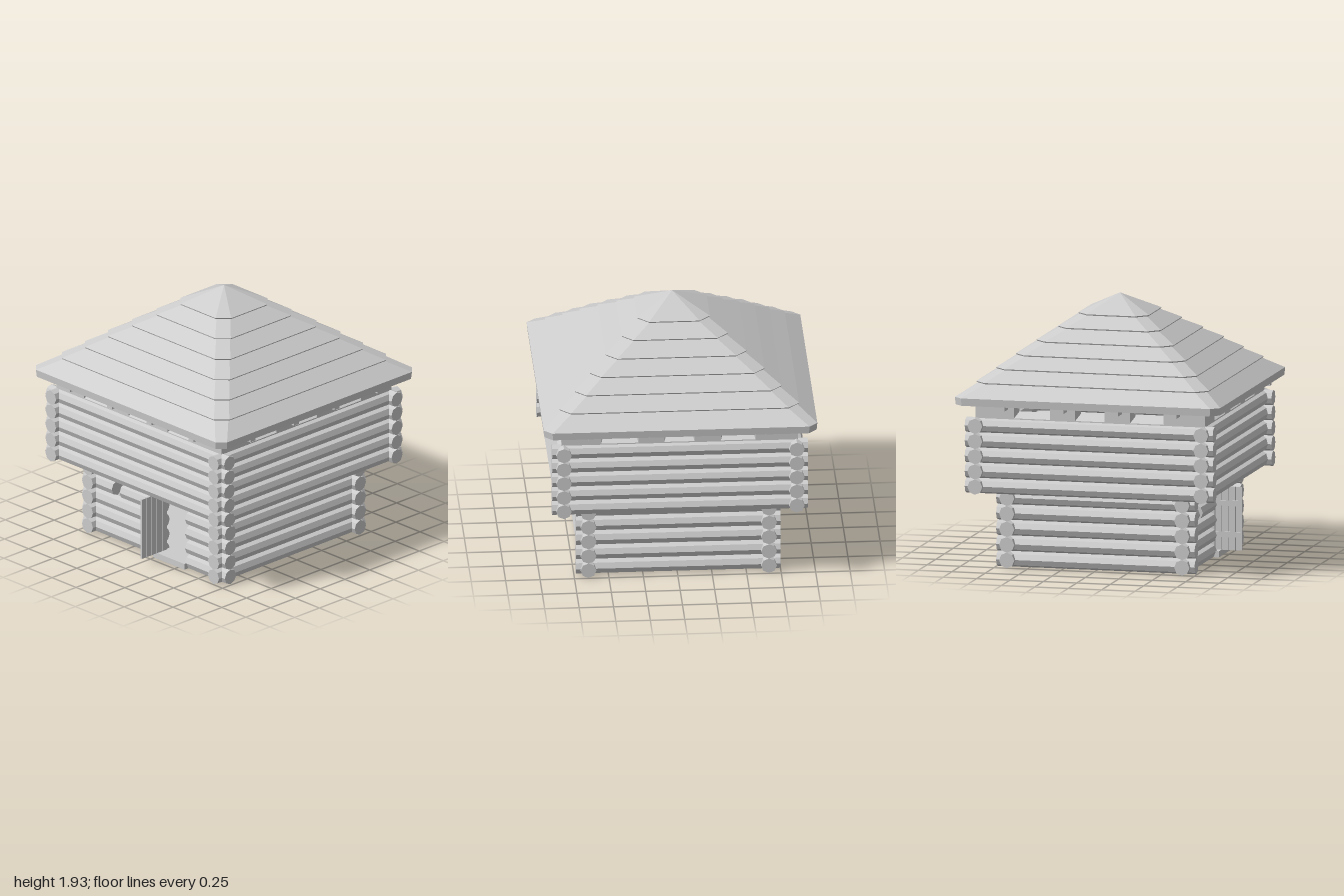
import * as THREE from 'three';

const mat = new THREE.MeshStandardMaterial({ color: 0xcccccc, flatShading: true });

function add(parent, name, geometry, x = 0, y = 0, z = 0) {
  const mesh = new THREE.Mesh(geometry, mat);
  mesh.name = name;
  mesh.position.set(x, y, z);
  parent.add(mesh);
  return mesh;
}

function box(parent, name, w, h, d, x, y, z) {
  return add(parent, name, new THREE.BoxGeometry(w, h, d), x, y, z);
}

// Eight-sided log along x, with edges at its top, bottom, front and back
function log(parent, x0, x1, y, z, r) {
  const g = new THREE.CylinderGeometry(r, r, x1 - x0, 8).rotateZ(Math.PI / 2);
  add(parent, 'log', g, (x0 + x1) / 2, y, z);
}

// Four crossing log walls; frontCuts(row) lists the spans of the front logs
function logStorey(name, { half, centre, y0, step, r, frontCuts }) {
  const storey = new THREE.Group();
  storey.name = name;
  for (let side = 0; side < 4; side++) {
    const wall = new THREE.Group();
    wall.name = ['frontWall', 'leftWall', 'backWall', 'rightWall'][side];
    wall.rotation.y = side * Math.PI / 2;
    for (let row = 0; row < 5; row++) {
      const spans = side === 0 && frontCuts ? frontCuts(row) : [[-half, half]];
      for (const [x0, x1] of spans) log(wall, x0, x1, y0 + row * step, centre, r);
    }
    storey.add(wall);
  }
  return storey;
}

// Upright prism from a plan outline of [x, z] points
function planPrism(points, y0, y1) {
  const shape = new THREE.Shape(points.map(([x, z]) => new THREE.Vector2(x, -z)));
  const g = new THREE.ExtrudeGeometry(shape, { depth: y1 - y0, bevelEnabled: false });
  return g.rotateX(-Math.PI / 2).translate(0, y0, 0);
}

// Parapet side with three splayed firing slots and rafter ends
function parapetSide() {
  const side = new THREE.Group();
  side.name = 'parapetSide';
  const zo = 0.857, zi = 0.78, splay = 0.022;
  const slots = [[-0.57, -0.3], [-0.112, 0.108], [0.298, 0.55]];
  const edges = [-zo, ...slots.flat(), zi];
  for (let i = 0; i < edges.length; i += 2) {
    const l = edges[i], r = edges[i + 1];
    const li = i === 0 ? l : l - splay;
    const ri = i === edges.length - 2 ? r : r + splay;
    add(side, 'parapetPost', planPrism([[l, zo], [r, zo], [ri, zi], [li, zi]], 1.085, 1.222));
  }
  // Sloping sills, low on the outside
  for (const [l, r] of slots) {
    const profile = new THREE.Shape([
      new THREE.Vector2(-zo, 1.085), new THREE.Vector2(-zi, 1.085),
      new THREE.Vector2(-zi, 1.163), new THREE.Vector2(-zo, 1.122),
    ]);
    const g = new THREE.ExtrudeGeometry(profile, { depth: r - l, bevelEnabled: false });
    g.rotateY(Math.PI / 2);
    add(side, 'slotSill', g, l, 0, 0);
  }
  for (const x of [-0.64, -0.2, 0.21, 0.645]) box(side, 'rafterEnd', 0.052, 0.036, 0.13, x, 1.204, 0.895);
  return side;
}

// Overlapping shingle courses: stacked rings of a square with cut corners
function roofGeometry() {
  const rings = [[0, 1.22, 0], [0.988, 1.22, 0.06], [0.993, 1.275, 0.06]];
  const lips = [[0.87, 1.365], [0.752, 1.452], [0.635, 1.54], [0.512, 1.626], [0.385, 1.712], [0.263, 1.797]];
  for (const [h, y] of lips) {
    rings.push([h - 0.022, y + 0.004, 0.07], [h - 0.004, y, 0.08], [h, y + 0.009, 0.08]);
  }
  rings.push([0, 1.933, 0]);
  const pos = [], index = [];
  for (const [h, y, c] of rings) {
    const k = h - c;
    for (const [x, z] of [[h, -k], [h, k], [k, h], [-k, h], [-h, k], [-h, -k], [-k, -h], [k, -h]]) pos.push(x, y, z);
  }
  for (let r = 0; r < rings.length - 1; r++) {
    for (let i = 0; i < 8; i++) {
      const j = (i + 1) % 8, a = r * 8, b = a + 8;
      index.push(a + i, b + i, b + j, a + i, b + j, a + j);
    }
  }
  const g = new THREE.BufferGeometry();
  g.setAttribute('position', new THREE.Float32BufferAttribute(pos, 3));
  g.setIndex(index);
  g.computeVertexNormals();
  return g;
}

// Plank door standing open, square to the wall, braced on its outer face
function openDoor() {
  const door = new THREE.Group();
  door.name = 'door';
  for (let i = 0; i < 5; i++) box(door, 'doorPlank', 0.016, 0.465, 0.046, 0.058, 0.298, 0.875 - i * 0.051);
  for (const y of [0.18, 0.41]) box(door, 'doorBrace', 0.01, 0.04, 0.23, 0.045, y, 0.773);
  return door;
}

export function createModel() {
  const model = new THREE.Group();
  model.name = 'blockhouse';
  const shift = -0.007;

  // Lower storey with a doorway and one loophole in the front wall
  const lower = logStorey('lowerStorey', {
    half: 0.742, centre: 0.655, y0: 0.057, step: 0.114, r: 0.057,
    frontCuts: (row) => row === 3
      ? [[-0.742, -0.433], [-0.353, 0.052], [0.327, 0.742]]
      : [[-0.742, 0.052], [0.327, 0.742]],
  });
  lower.position.x = shift;
  model.add(lower);
  box(model, 'groundFloor', 1.26, 0.015, 1.26, shift, 0.052, 0);
  box(model, 'threshold', 0.325, 0.045, 0.14, 0.175, 0.037, 0.665);
  model.add(openDoor());

  // Overhanging upper storey
  box(model, 'upperFloor', 1.66, 0.03, 1.66, shift, 0.59, 0);
  const upper = logStorey('upperStorey', { half: 0.928, centre: 0.845, y0: 0.617, step: 0.1115, r: 0.0558 });
  upper.position.x = shift;
  model.add(upper);

  // Parapet on all four sides
  const parapet = new THREE.Group();
  parapet.name = 'parapet';
  parapet.position.x = shift;
  for (let i = 0; i < 4; i++) {
    const side = parapetSide();
    side.rotation.y = i * Math.PI / 2;
    parapet.add(side);
  }
  model.add(parapet);

  add(model, 'roof', roofGeometry(), shift);
  return model;
}
